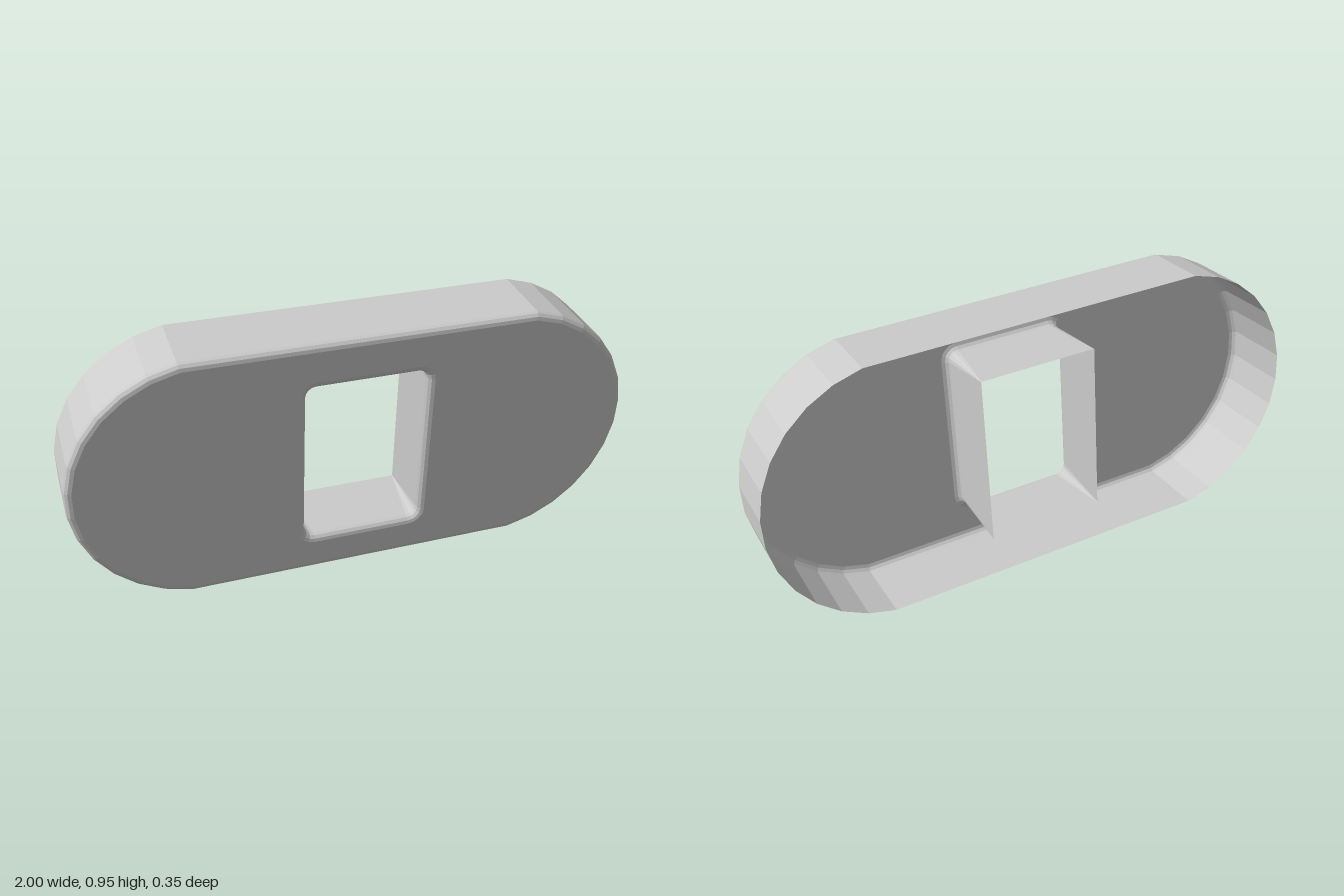
import * as THREE from 'three';

const HALF_H = 0.4675, DEPTH = 0.26, BEVEL = 0.025, TILT = 0.102;
const FRONT = DEPTH / 2, BACK = -DEPTH / 2;

// Faceted stadium outline, anticlockwise, shrunk inwards by inset
function stadium(inset) {
  const n = 13, end = THREE.MathUtils.degToRad(80), c = 0.528;
  const r = HALF_H / Math.sin(end) - inset;
  const pts = [];
  for (const side of [0, Math.PI]) {
    for (let i = 0; i <= n; i++) {
      const a = side - end + (2 * end * i) / n;
      pts.push(new THREE.Vector2((side ? -c : c) + r * Math.cos(a), r * Math.sin(a)));
    }
  }
  return pts;
}

// Window outline with rounded corners, anticlockwise, grown outwards by grow
function windowLoop(grow, radius) {
  const x0 = -0.2 - grow, x1 = 0.225 + grow, y0 = -0.32 - grow, y1 = 0.305 + grow;
  const corners = [[x1, y1, -1, -1], [x0, y1, 1, -1], [x0, y0, 1, 1], [x1, y0, -1, 1]];
  const pts = [];
  corners.forEach(([x, y, sx, sy], k) => {
    for (let i = 0; i <= 4; i++) {
      const a = (k + i / 4) * Math.PI / 2;
      pts.push(new THREE.Vector2(
        x + sx * radius + radius * Math.cos(a),
        y + sy * radius + radius * Math.sin(a)));
    }
  });
  return pts;
}

// Skin a series of closed loops, each { pts, z }
function loft(loops) {
  const n = loops[0].pts.length, pos = [], idx = [];
  for (const { pts, z } of loops) for (const p of pts) pos.push(p.x, p.y, z);
  for (let j = 0; j < loops.length - 1; j++) {
    for (let i = 0; i < n; i++) {
      const k = (i + 1) % n, a = j * n + i, b = j * n + k;
      idx.push(a, b, b + n, a, b + n, a + n);
    }
  }
  const g = new THREE.BufferGeometry();
  g.setAttribute('position', new THREE.Float32BufferAttribute(pos, 3));
  g.setIndex(idx);
  g.computeVertexNormals();
  return g;
}

export function createModel() {
  const material = new THREE.MeshStandardMaterial({
    color: 0xcccccc, flatShading: true, side: THREE.DoubleSide,
  });
  const body = new THREE.Group();
  body.name = 'tiltedBody';
  const add = (name, geometry) => {
    const mesh = new THREE.Mesh(geometry, material);
    mesh.name = name;
    body.add(mesh);
    return mesh;
  };

  // Outer wall, open at the back, rolling over into the front plate
  const wall = [{ pts: stadium(0), z: BACK }];
  for (let i = 0; i <= 3; i++) {
    const a = (i / 3) * Math.PI / 2;
    wall.push({ pts: stadium(BEVEL * (1 - Math.cos(a))), z: FRONT - BEVEL * (1 - Math.sin(a)) });
  }
  add('outerWall', loft(wall));

  // Flat front plate with the window cut out
  const plate = new THREE.Shape(stadium(BEVEL));
  plate.holes.push(new THREE.Path(windowLoop(BEVEL, 0.06)));
  add('frontPlate', new THREE.ShapeGeometry(plate)).position.z = FRONT;

  // Window sleeve: rounded lip at the front, square corners at the back
  const sleeve = [];
  for (let i = 0; i <= 3; i++) {
    const a = (i / 3) * Math.PI / 2, grow = BEVEL * (1 - Math.sin(a));
    sleeve.push({ pts: windowLoop(grow, 0.035 + grow), z: FRONT - BEVEL * (1 - Math.cos(a)) });
  }
  sleeve.push({ pts: windowLoop(0, 0.002), z: BACK });
  add('windowSleeve', loft(sleeve));

  // Lean the whole shell forward at the top
  body.rotation.x = TILT;
  body.position.set(0, 0.478, 0.001);
  const model = new THREE.Group();
  model.name = 'windowShell';
  model.add(body);
  return model;
}
